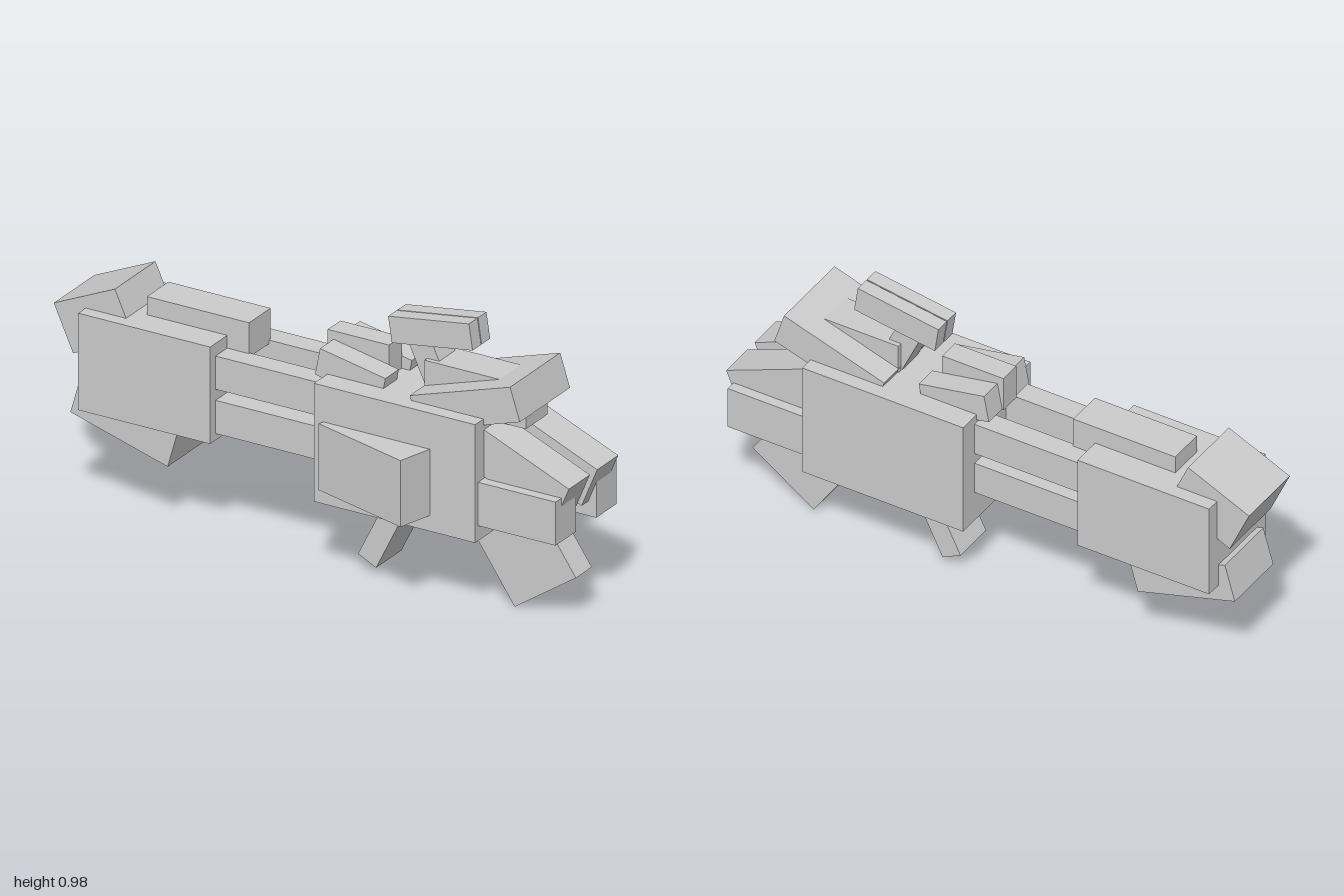
import * as THREE from 'three';

const MID = -0.064; // centre plane of the gun in z

export function createModel() {
  const model = new THREE.Group();
  const material = new THREE.MeshStandardMaterial({ color: 0xcccccc, flatShading: true });

  // box given by size and centre; tilt turns it about z, yaw about y (degrees)
  function box(name, [w, h, d], [x, y, z], tilt = 0, yaw = 0) {
    const mesh = new THREE.Mesh(new THREE.BoxGeometry(w, h, d), material);
    mesh.name = name;
    mesh.position.set(x, y, z);
    mesh.rotation.set(0, THREE.MathUtils.degToRad(yaw), THREE.MathUtils.degToRad(tilt));
    model.add(mesh);
  }

  // the same box on both sides of the centre plane
  function pair(name, size, [x, y], offset, tilt = 0) {
    box(name + 'Left', size, [x, y, MID + offset], tilt);
    box(name + 'Right', size, [x, y, MID - offset], tilt);
  }

  // main blocks
  box('receiver', [0.62, 0.427, 0.42], [0.362, 0.502, MID]);
  box('muzzleBlock', [0.507, 0.35, 0.352], [-0.623, 0.555, -0.067]);

  // four rails joining the blocks
  pair('upperRail', [0.5, 0.12, 0.08], [-0.16, 0.624], 0.099);
  pair('lowerRail', [0.5, 0.12, 0.08], [-0.16, 0.464], 0.099);

  // muzzle end
  box('muzzleTopRib', [0.393, 0.125, 0.135], [-0.482, 0.733, -0.066]);
  box('muzzleUpperWedge', [0.258, 0.18, 0.255], [-0.845, 0.69, -0.066], 24.4);
  box('muzzleLowerWedge', [0.389, 0.139, 0.24], [-0.733, 0.35, -0.064], -16);

  // rear sight
  box('sightBlock', [0.236, 0.13, 0.08], [0.118, 0.765, -0.066]);
  pair('sightCheek', [0.256, 0.1, 0.085], [0.14, 0.728], 0.083, -10.8);

  // scope on its slanted post
  pair('scopeHalf', [0.314, 0.094, 0.053], [0.405, 0.92], 0.0285, 8.6);
  box('scopePost', [0.09, 0.22, 0.1], [0.4, 0.795, MID], 25);

  // top cover
  box('coverBase', [0.39, 0.155, 0.135], [0.585, 0.747, MID]);
  box('coverPlate', [0.405, 0.123, 0.315], [0.6, 0.735, MID], 17.7);

  // stock end
  pair('stockArm', [0.43, 0.157, 0.132], [0.77, 0.55], 0.089, -22.6);
  pair('stockSide', [0.47, 0.157, 0.128], [0.735, 0.422], 0.128);

  // grips and side magazine
  box('rearGrip', [0.285, 0.46, 0.1], [0.714, 0.278, MID], 34.3);
  box('frontGrip', [0.077, 0.263, 0.16], [0.235, 0.171, MID], -26.3);
  box('sideMagazine', [0.394, 0.24, 0.16], [0.294, 0.465, 0.142], 0, -15.7);

  return model;
}
